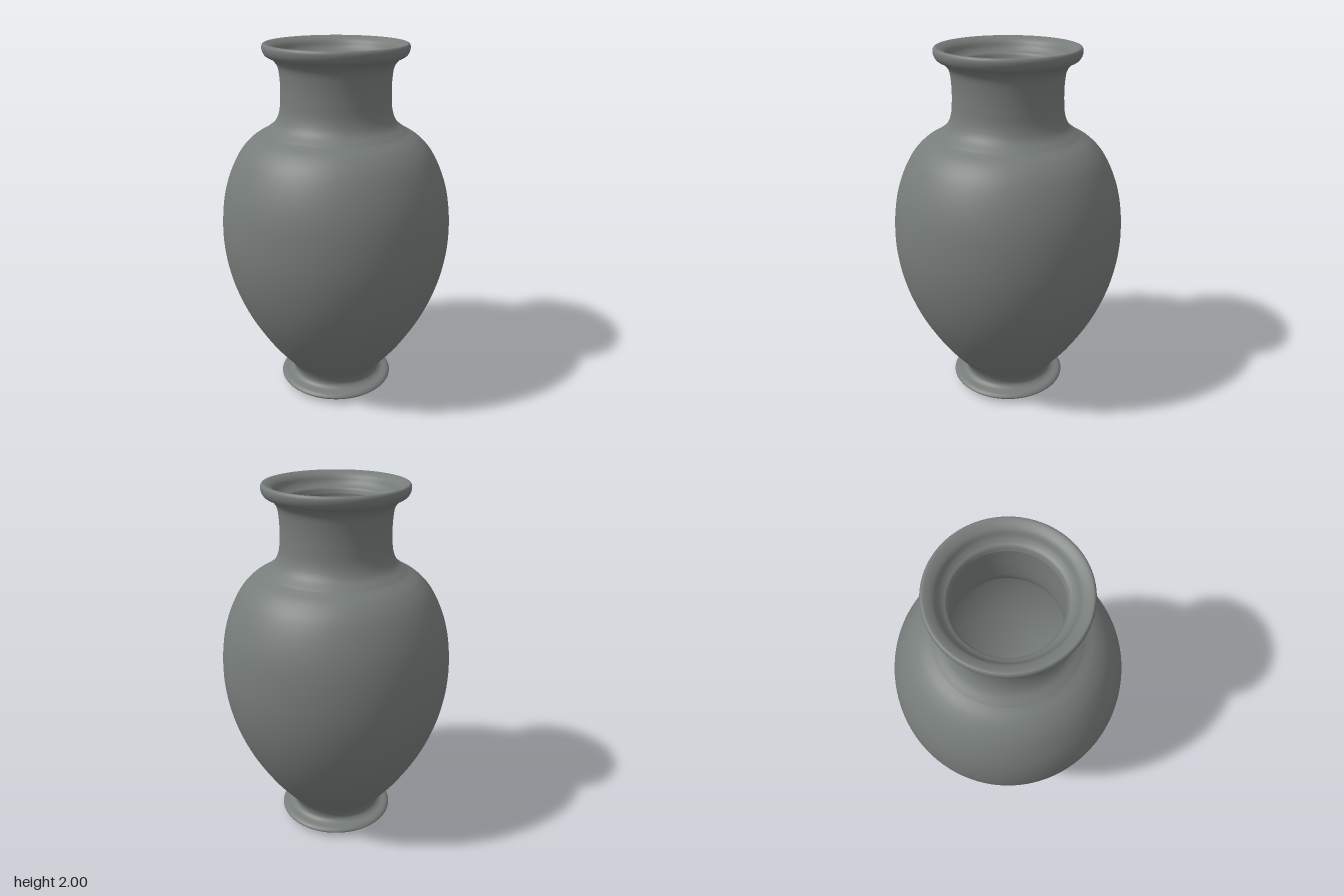
import * as THREE from 'three';

const SEGMENTS = 96;

// Smooth curve through [radius, height] points
function smoothProfile(points, samples) {
  const curve = new THREE.CatmullRomCurve3(
    points.map(([r, y]) => new THREE.Vector3(r, y, 0)), false, 'centripetal');
  return curve.getPoints(samples).map(p => new THREE.Vector2(Math.max(p.x, 0), p.y));
}

function turned(name, points, samples, material) {
  const mesh = new THREE.Mesh(
    new THREE.LatheGeometry(smoothProfile(points, samples), SEGMENTS), material);
  mesh.name = name;
  return mesh;
}

export function createModel() {
  const vase = new THREE.Group();
  vase.name = 'vase';
  const clay = new THREE.MeshStandardMaterial({ color: 0x767c7a, side: THREE.DoubleSide });

  // Gently domed underside, up to the rim of the foot
  vase.add(turned('base', [[0, 0], [0.12, 0.004], [0.24, 0.013], [0.315, 0.026]], 16, clay));

  // Flared foot, narrow waist, swelling belly and shoulder
  vase.add(turned('body', [
    [0.315, 0.026], [0.328, 0.04], [0.315, 0.055], [0.272, 0.068], [0.255, 0.088],
    [0.268, 0.135], [0.335, 0.22], [0.41, 0.32], [0.53, 0.53], [0.607, 0.75],
    [0.635, 0.98], [0.605, 1.235], [0.525, 1.42], [0.455, 1.497], [0.385, 1.54],
  ], 110, clay));

  // Neck rising to the rolled lip, which dips to an inner ledge
  vase.add(turned('neckAndLip', [
    [0.385, 1.54], [0.33, 1.585], [0.305, 1.64], [0.296, 1.72], [0.297, 1.82],
    [0.308, 1.885], [0.335, 1.92], [0.37, 1.94], [0.384, 1.965], [0.385, 1.988],
    [0.376, 2], [0.35, 1.993], [0.325, 1.975], [0.308, 1.945], [0.292, 1.928], [0.275, 1.915],
    [0.265, 1.89],
  ], 100, clay));

  // Hollow interior following the outer wall down to the floor
  vase.add(turned('interior', [
    [0.265, 1.89], [0.264, 1.72], [0.272, 1.63], [0.3, 1.56], [0.36, 1.51],
    [0.49, 1.4], [0.57, 1.235], [0.602, 0.98], [0.575, 0.75], [0.498, 0.53],
    [0.38, 0.32], [0.3, 0.22], [0.22, 0.13], [0.12, 0.09], [0, 0.08],
  ], 90, clay));

  return vase;
}
